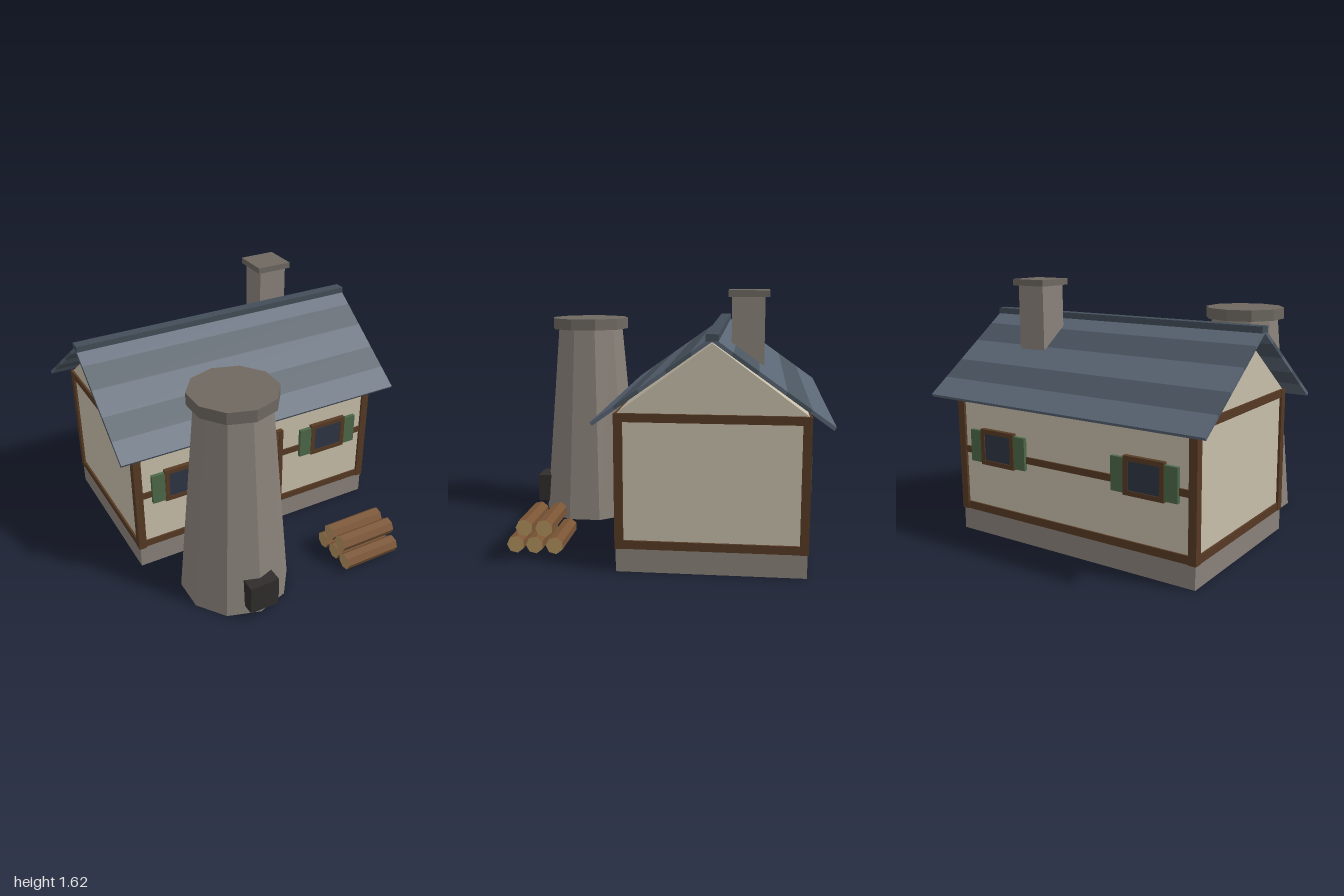
import * as THREE from 'three';

const mat = (color) => new THREE.MeshStandardMaterial({ color, flatShading: true });
const M = {
  stone: mat(0x8a827a), capStone: mat(0x6e6861), plaster: mat(0xc8bfab), timber: mat(0x573a24),
  door: mat(0x644628), shutter: mat(0x4c6848), glass: mat(0x2e3644), iron: mat(0x302c2c),
  slateLight: mat(0x5a6675), slateDark: mat(0x4a5560), ridge: mat(0x434e58),
  bark: mat(0x7a5535), cutWood: mat(0xb08f5c),
};

const ZC = -0.328; // middle of the house in z

function add(parent, name, geometry, material, x = 0, y = 0, z = 0) {
  const mesh = new THREE.Mesh(geometry, material);
  mesh.name = name;
  mesh.position.set(x, y, z);
  parent.add(mesh);
  return mesh;
}

// Box given by its lower and upper limits on each axis
function box(parent, name, material, [x0, x1], [y0, y1], [z0, z1]) {
  return add(parent, name, new THREE.BoxGeometry(x1 - x0, y1 - y0, z1 - z0), material,
    (x0 + x1) / 2, (y0 + y1) / 2, (z0 + z1) / 2);
}

function group(parent, name) {
  const g = new THREE.Group();
  g.name = name;
  parent.add(g);
  return g;
}

// Framed window with two shutters, built outward along +z from the wall
function makeWindow(parent, x, z, turn) {
  const w = group(parent, 'window');
  w.position.set(x, 0.585, z);
  w.rotation.y = turn;
  const frame = new THREE.Shape([[-0.135, -0.115], [0.135, -0.115], [0.135, 0.115], [-0.135, 0.115]]
    .map(([a, b]) => new THREE.Vector2(a, b)));
  frame.holes.push(new THREE.Path([[-0.105, -0.086], [-0.105, 0.086], [0.105, 0.086], [0.105, -0.086]]
    .map(([a, b]) => new THREE.Vector2(a, b))));
  add(w, 'windowFrame', new THREE.ExtrudeGeometry(frame, { depth: 0.03, bevelEnabled: false }), M.timber);
  box(w, 'windowPane', M.glass, [-0.106, 0.106], [-0.087, 0.087], [0, 0.024]);
  for (const s of [-1, 1]) {
    add(w, 'shutter', new THREE.BoxGeometry(0.09, 0.205, 0.024), M.shutter, s * 0.177, -0.002, 0.015);
  }
}

function makeHouse(parent) {
  const house = group(parent, 'house');
  box(house, 'foundation', M.stone, [-0.873, 0.871], [0, 0.145], [-0.88, 0.225]);

  // Walls and gables as one pentagonal prism
  const profile = new THREE.Shape([[-0.542, 0.14], [0.542, 0.14], [0.542, 0.94], [0, 1.34], [-0.542, 0.94]]
    .map(([a, b]) => new THREE.Vector2(a, b)));
  const walls = new THREE.ExtrudeGeometry(profile, { depth: 1.73, bevelEnabled: false });
  walls.rotateY(-Math.PI / 2).translate(0.865, 0, ZC);
  add(house, 'walls', walls, M.plaster);

  // Timber frame: corner posts, sills, top plates and middle rails
  for (const sx of [-1, 1]) {
    for (const sz of [-1, 1]) {
      add(house, 'cornerPost', new THREE.BoxGeometry(0.051, 0.8, 0.051), M.timber,
        sx * 0.855, 0.54, ZC + sz * 0.533);
    }
    for (const y of [0.166, 0.916]) {
      add(house, 'sideBeam', new THREE.BoxGeometry(0.04, 0.05, 1.05), M.timber, sx * 0.858, y, ZC);
    }
  }
  for (const sz of [-1, 1]) {
    for (const [y, h] of [[0.166, 0.05], [0.545, 0.042], [0.916, 0.05]]) {
      add(house, 'longBeam', new THREE.BoxGeometry(1.68, h, 0.04), M.timber, 0, y, ZC + sz * 0.533);
    }
    for (const x of [-0.545, 0.545]) {
      makeWindow(house, x, ZC + sz * 0.542, sz > 0 ? 0 : Math.PI);
    }
  }

  // Front door
  const door = group(house, 'door');
  box(door, 'doorLeaf', M.door, [-0.152, 0.152], [0.13, 0.712], [0.2, 0.236]);
  for (const s of [-1, 1]) {
    add(door, 'doorJamb', new THREE.BoxGeometry(0.03, 0.62, 0.045), M.timber, s * 0.167, 0.43, 0.222);
  }
  box(door, 'doorLintel', M.timber, [-0.152, 0.152], [0.71, 0.74], [0.2, 0.2445]);
}

function makeRoof(parent) {
  const roof = group(parent, 'roof');
  const angle = Math.atan2(0.475, 0.667);
  const edges = [0, 0.11, 0.25, 0.402, 0.537, 0.667]; // course limits, ridge to eave
  const t = 0.022;
  for (const s of [-1, 1]) {
    for (let i = 0; i < 5; i++) {
      const mid = (edges[i] + edges[i + 1]) / 2;
      const length = (edges[i + 1] - edges[i]) / Math.cos(angle);
      const course = add(roof, 'slateCourse', new THREE.BoxGeometry(1.975, t, length),
        i % 2 ? M.slateDark : M.slateLight, -0.002, 1.372 - mid * Math.tan(angle), ZC - 0.004 + s * mid);
      course.rotation.x = s * angle;
    }
  }
  box(roof, 'ridgeCap', M.ridge, [-0.99, 0.986], [1.362, 1.4], [-0.368, -0.296]);

  const chimney = group(parent, 'chimney');
  box(chimney, 'chimneyStack', M.stone, [0.38, 0.575], [1.12, 1.585], [-0.616, -0.424]);
  box(chimney, 'chimneyCap', M.capStone, [0.356, 0.598], [1.583, 1.622], [-0.642, -0.402]);
}

// Tapered ten-sided kiln with a collar and firebox
function makeKiln(parent) {
  const kiln = group(parent, 'kiln');
  kiln.position.set(-0.392, 0, 0.614);
  add(kiln, 'kilnTower', new THREE.CylinderGeometry(0.227, 0.346, 1.36, 10), M.stone, 0, 0.68, 0);
  add(kiln, 'kilnCollar', new THREE.CylinderGeometry(0.27, 0.27, 0.075, 10), M.capStone, 0, 1.3625, 0);
  box(kiln, 'firebox', M.iron, [-0.095, 0.097], [0.062, 0.254], [0.24, 0.386]);
}

function makeLogPile(parent) {
  const pile = group(parent, 'logPile');
  const spots = [[0.89, 0.064], [0.77, 0.064], [0.645, 0.064], [0.832, 0.172], [0.708, 0.172]];
  const geometry = new THREE.CylinderGeometry(0.055, 0.055, 0.39, 7).rotateZ(Math.PI / 2);
  for (const [z, y] of spots) {
    add(pile, 'log', geometry, [M.bark, M.cutWood, M.cutWood], 0.465, y, z);
  }
}

export function createModel() {
  const model = new THREE.Group();
  model.name = 'cottageWithKiln';
  makeHouse(model);
  makeRoof(model);
  makeKiln(model);
  makeLogPile(model);
  return model;
}
